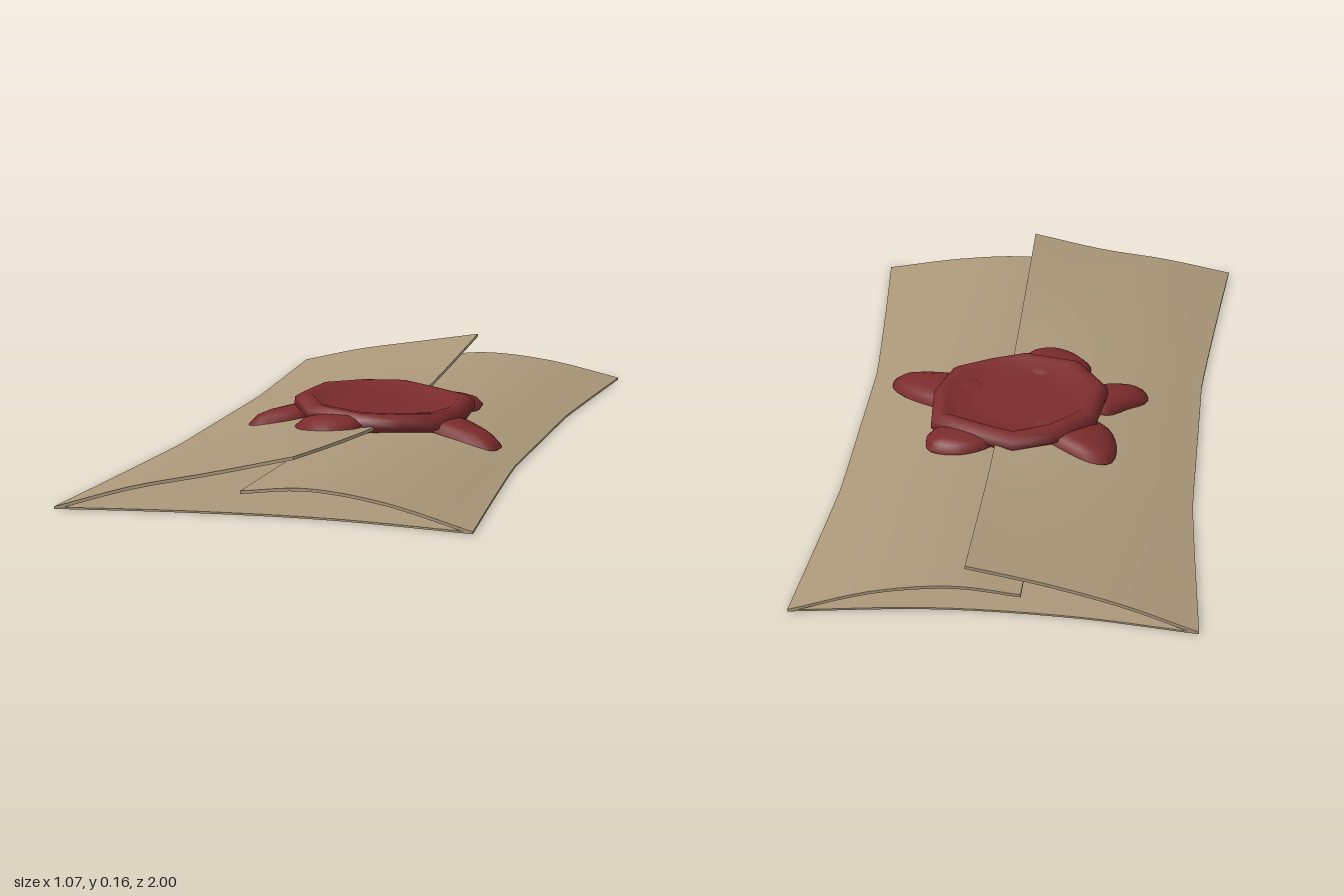
import * as THREE from 'three';

const paper = new THREE.MeshStandardMaterial({ color: 0xac987a });
paper.name = 'paper';
const wax = new THREE.MeshStandardMaterial({ color: 0x7b2b2c });
wax.name = 'sealing wax';

const curve = (pts) => new THREE.CatmullRomCurve3(pts.map((p) => new THREE.Vector3(...p)));

// Curved sheet: a box bent through a back, a middle and a front cross-section
function sheet(name, back, middle, front, thickness) {
  const [b, m, f] = [back, middle, front].map(curve);
  const geo = new THREE.BoxGeometry(1, 1, 1, 16, 1, 24);
  const pos = geo.attributes.position;
  for (let i = 0; i < pos.count; i++) {
    const u = pos.getX(i) + 0.5;
    const v = pos.getZ(i) * 2;
    const start = v > 0 ? 0.25 : 0.4; // the ends lift up only past this point
    const w = Math.max(0, (Math.abs(v) - start) / (1 - start)) ** 1.1;
    const end = (v > 0 ? f : b).getPoint(u);
    const p = m.getPoint(u).lerp(end, w);
    const y = pos.getY(i) > 0 ? p.y : Math.max(0, p.y - thickness);
    pos.setXYZ(i, p.x, y, Math.abs(v) * end.z);
  }
  geo.computeVertexNormals();
  const mesh = new THREE.Mesh(geo, paper);
  mesh.name = name;
  return mesh;
}

// Wax form: an outline [x, z] repeated as rings [scale, height] on a tilted base
function waxForm(name, outline, rings, baseY, slope) {
  const n = outline.length;
  const cx = outline.reduce((s, p) => s + p[0], 0) / n;
  const cz = outline.reduce((s, p) => s + p[1], 0) / n;
  const verts = [];
  const index = [];
  rings.forEach(([scale, h], r) => {
    outline.forEach(([x, z], j) => {
      const dx = (x - cx) * scale;
      verts.push(cx + dx, baseY + h + slope * dx, cz + (z - cz) * scale);
      if (r === rings.length - 1) return;
      const a = r * n + j;
      const b = r * n + ((j + 1) % n);
      if (r > 0) index.push(a, b, a + n);
      if (r < rings.length - 2) index.push(b, b + n, a + n);
      else if (r === 0) index.push(b, b + n, a + n);
    });
  });
  const geo = new THREE.BufferGeometry();
  geo.setAttribute('position', new THREE.Float32BufferAttribute(verts, 3));
  geo.setIndex(index);
  geo.computeVertexNormals();
  const mesh = new THREE.Mesh(geo, wax);
  mesh.name = name;
  return mesh;
}

// Rounds a coarse outline into a smooth closed one
function rounded(points) {
  const c = new THREE.CatmullRomCurve3(points.map(([x, z]) => new THREE.Vector3(x, 0, z)), true);
  return c.getPoints(24).slice(0, 24).map((p) => [p.x, p.z]);
}

export function createModel() {
  const model = new THREE.Group();
  model.name = 'sealedLetter';

  // Flat back sheet with slightly waisted sides
  model.add(sheet('backSheet',
    [[-0.52, 0.005, -1], [-0.2, 0.005, -0.96], [0.15, 0.005, -0.955], [0.515, 0.005, -1]],
    [[-0.48, 0.005, 0], [-0.18, 0.005, 0], [0.14, 0.005, 0], [0.475, 0.005, 0]],
    [[-0.538, 0.005, 1], [-0.2, 0.005, 0.94], [0.15, 0.005, 0.91], [0.535, 0.005, 0.935]],
    0.005));

  // Inner flap, tucked below
  model.add(sheet('innerFlap',
    [[-0.07, 0.055, -0.95], [0.1, 0.073, -0.955], [0.3, 0.056, -0.97], [0.515, 0.006, -1]],
    [[-0.07, 0.046, 0], [0.1, 0.062, 0], [0.29, 0.048, 0], [0.475, 0.006, 0]],
    [[-0.07, 0.06, 0.915], [0.1, 0.077, 0.91], [0.3, 0.058, 0.915], [0.535, 0.006, 0.935]],
    0.008));

  // Outer flap, lifting at both ends
  model.add(sheet('outerFlap',
    [[-0.52, 0.006, -1], [-0.33, 0.057, -0.975], [-0.13, 0.096, -0.955], [0.07, 0.132, -0.95]],
    [[-0.48, 0.006, 0], [-0.3, 0.046, 0], [-0.11, 0.072, 0], [0.07, 0.081, 0]],
    [[-0.538, 0.006, 1], [-0.34, 0.064, 0.96], [-0.14, 0.106, 0.928], [0.07, 0.157, 0.912]],
    0.009));

  // Wax seal: raised uneven rim around a shallow dish
  const seal = new THREE.Group();
  seal.name = 'waxSeal';
  model.add(seal);
  seal.add(waxForm('sealDisc',
    [[0.275, 0], [0.235, 0.14], [0.14, 0.19], [0.03, 0.23], [-0.13, 0.18], [-0.22, 0.03],
      [-0.2, -0.14], [-0.1, -0.24], [0.02, -0.29], [0.13, -0.24], [0.26, -0.17]],
    [[0, 0.03], [0.5, 0.031], [0.72, 0.036], [0.82, 0.052], [0.91, 0.054], [0.99, 0.04],
      [1, 0.018], [0.93, 0], [0, 0]],
    0.06, -0.045));

  // Drips squeezed out round the seal: outline, base height, slope across
  const drips = [
    ['backRightDrip', 0.068, 0.1, [[-0.1, -0.05], [-0.22, -0.1], [-0.26, -0.2], [-0.25, -0.3],
      [-0.2, -0.31], [-0.1, -0.25], [0, -0.15]]],
    ['backLeftDrip', 0.064, -0.06, [[0.26, -0.18], [0.15, -0.1], [0.05, -0.2], [0.1, -0.27],
      [0.17, -0.3], [0.25, -0.28], [0.265, -0.23]]],
    ['leftDrip', 0.05, -0.18, [[0.41, 0.12], [0.4, 0.18], [0.34, 0.18], [0.2, 0.13],
      [0.12, 0.05], [0.22, -0.04], [0.33, 0.02]]],
    ['frontDrip', 0.078, 0.07, [[0.04, 0.2], [0.03, 0.26], [-0.04, 0.3], [-0.12, 0.27],
      [-0.16, 0.2], [-0.1, 0.1], [0, 0.1]]],
    ['rightDrip', 0.058, 0.16, [[-0.15, 0.05], [-0.2, 0.12], [-0.31, 0.145], [-0.33, 0.08],
      [-0.28, 0.02], [-0.22, -0.04], [-0.15, -0.02]]],
  ];
  const dome = [[0, 0.028], [0.5, 0.026], [0.8, 0.018], [1, 0], [0.9, -0.01], [0, -0.01]];
  for (const [name, y, slope, outline] of drips) {
    seal.add(waxForm(name, rounded(outline), dome, y, slope));
  }
  return model;
}
